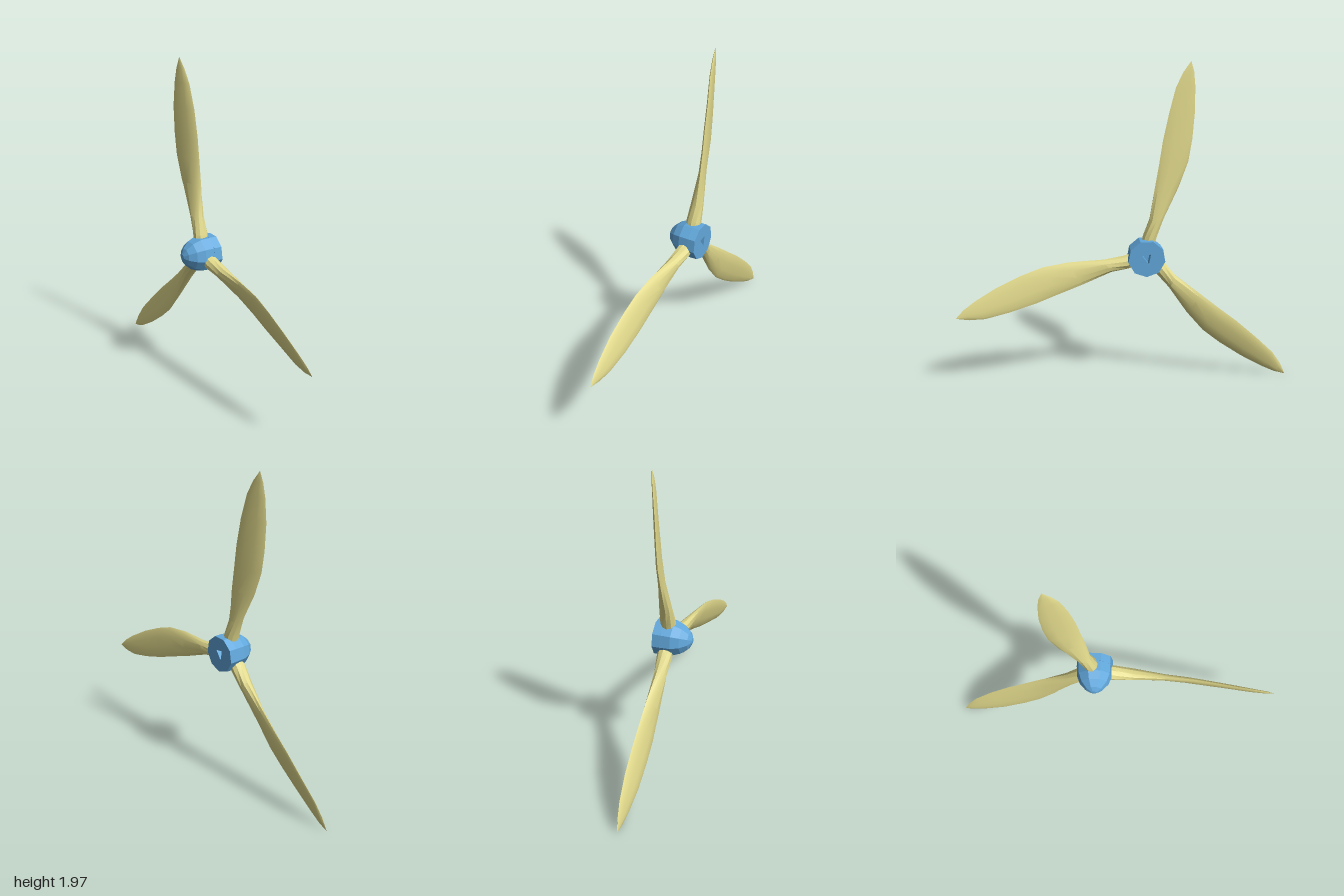
import * as THREE from 'three';
import { toCreasedNormals } from 'three/addons/utils/BufferGeometryUtils.js';

const RIB = 10; // points around a blade section

// Sections from root to tip: height, +z edge, -z edge, half twist in x, half thickness
const STATIONS = [
  [0.04, 0.03, -0.05, 0.0, 0.045],
  [0.12, 0.018, -0.07, 0.004, 0.046],
  [0.225, -0.023, -0.106, 0.012, 0.038],
  [0.415, -0.05, -0.2, 0.022, 0.02],
  [0.565, -0.075, -0.255, 0.025, 0.017],
  [0.7, -0.095, -0.277, 0.026, 0.015],
  [0.865, -0.13, -0.29, 0.025, 0.013],
  [1.015, -0.17, -0.288, 0.016, 0.01],
  [1.1, -0.212, -0.279, 0.008, 0.007],
  [1.165, -0.26, -0.26, 0.0, 0.0],
];

// Twisted blade lofted through the sections
function bladeGeometry() {
  const pos = [], index = [];
  for (const [h, zp, zm, dx, t] of STATIONS) {
    const dz = (zp - zm) / 2, mid = (zp + zm) / 2;
    const len = Math.hypot(dx, dz) || 1;
    for (let i = 0; i < RIB; i++) {
      const a = (i / RIB) * Math.PI * 2;
      const s = Math.cos(a), n = Math.sin(a) * t;
      pos.push(0.036 + dx * s + (n * dz) / len, h, mid + dz * s - (n * dx) / len);
    }
  }
  const last = STATIONS.length - 2;
  for (let k = 0; k <= last; k++) {
    for (let i = 0; i < RIB; i++) {
      const a = k * RIB + i, b = k * RIB + ((i + 1) % RIB);
      index.push(a, b, b + RIB);
      if (k < last) index.push(a, b + RIB, a + RIB);
    }
  }
  const g = new THREE.BufferGeometry();
  g.setAttribute('position', new THREE.Float32BufferAttribute(pos, 3));
  g.setIndex(index);
  return toCreasedNormals(g, 0.6);
}

export function createModel() {
  const model = new THREE.Group();
  model.name = 'propeller';
  const rotor = new THREE.Group();
  rotor.name = 'rotor';
  rotor.position.set(0, 0.835, -0.14);
  model.add(rotor);

  const blue = new THREE.MeshStandardMaterial({ color: 0x62a8dc, flatShading: true });
  const yellow = new THREE.MeshStandardMaterial({ color: 0xe2da8c });

  const add = (name, geometry, material) => {
    const mesh = new THREE.Mesh(geometry, material);
    mesh.name = name;
    rotor.add(mesh);
    return mesh;
  };

  // Nine-sided rounded nose pointing to -x
  const profile = [
    [0, -0.06], [0.111, -0.06], [0.108, 0], [0.088, 0.05], [0.052, 0.09], [0.018, 0.108], [0, 0.11],
  ].map(([r, y]) => new THREE.Vector2(r, y));
  const nose = new THREE.LatheGeometry(profile, 9, Math.PI / 6);
  nose.rotateZ(Math.PI / 2);
  add('hubNose', nose, blue);

  // Flat hub plate with a triangular shaft socket
  const rim = [];
  for (let i = 0; i < 9; i++) {
    const a = Math.PI / 6 + (i * Math.PI * 2) / 9;
    rim.push(new THREE.Vector2(0.112 * Math.cos(a), 0.112 * Math.sin(a)));
  }
  const plateShape = new THREE.Shape(rim);
  plateShape.holes.push(new THREE.Path([
    new THREE.Vector2(-0.027, 0.02), new THREE.Vector2(0.012, -0.034), new THREE.Vector2(0.024, 0.028),
  ]));
  const plate = new THREE.ExtrudeGeometry(plateShape, { depth: 0.05, bevelEnabled: false });
  plate.rotateY(Math.PI / 2);
  plate.translate(0.06, 0, 0);
  add('hubPlate', plate, blue);

  // Three equal blades around the hub
  const blade = bladeGeometry();
  for (let i = 0; i < 3; i++) {
    add(`blade${i + 1}`, blade, yellow).rotation.x = (i * Math.PI * 2) / 3;
  }
  return model;
}
